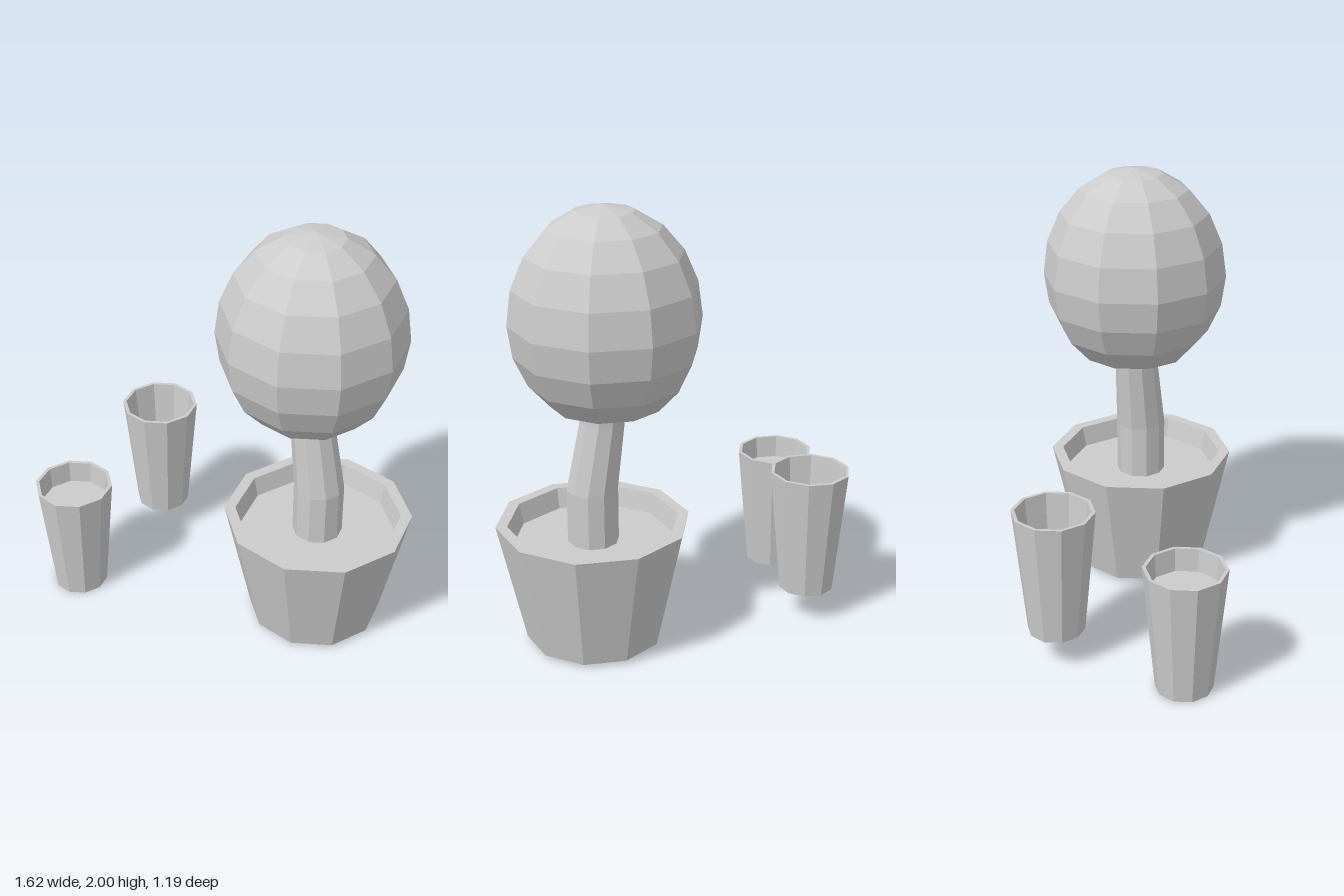
import * as THREE from 'three';

const SIDES = 10;

// Faceted ten-sided solid of revolution with corners on the x axis; profile runs bottom to top on the outside
function turned(name, profile, x, y, z) {
  const points = profile.map(([r, h]) => new THREE.Vector2(r, h));
  const geometry = new THREE.LatheGeometry(points, SIDES, Math.PI / 2);
  const material = new THREE.MeshStandardMaterial({ color: 0xcccccc, flatShading: true });
  const mesh = new THREE.Mesh(geometry, material);
  mesh.name = name;
  mesh.position.set(x, y, z);
  return mesh;
}

// Tapered cup with a wall, hollow down to the given floor height
function cup(name, floorY, x, y, z) {
  const floorR = 0.12 + 0.047 * (floorY - 0.03) / 0.555;
  return turned(name, [
    [0, 0], [0.128, 0], [0.183, 0.585], [0.167, 0.585], [floorR, floorY], [0, floorY],
  ], x, y, z);
}

export function createModel() {
  const model = new THREE.Group();
  model.name = 'pottedTreeWithCups';

  // Cups: one filled almost to the rim, one empty and raised
  model.add(cup('filledCup', 0.48, -0.628, 0, 0.42));
  model.add(cup('emptyCup', 0.03, -0.628, 0.15, -0.183));

  // Potted tree
  const tree = new THREE.Group();
  tree.name = 'pottedTree';
  tree.position.set(0.37, 0, -0.18);
  model.add(tree);

  // Pot with a rim, filled with soil
  tree.add(turned('pot', [
    [0, 0.015], [0.312, 0.015], [0.435, 0.575], [0.383, 0.575], [0.362, 0.48],
  ], 0, 0, 0));
  tree.add(turned('soil', [[0.362, 0.48], [0, 0.48]], 0, 0, 0));

  // Trunk: each ring is shifted sideways so the stem leans
  const rings = [[0.115, 0.47, 0], [0.115, 0.73, 0], [0.1, 1.05, -0.05], [0.1, 1.26, -0.066]];
  const trunk = turned('trunk', rings.map(([r, h]) => [r, h]), 0, 0, 0);
  const pos = trunk.geometry.attributes.position;
  for (let i = 0; i < pos.count; i++) {
    pos.setX(i, pos.getX(i) + rings[i % rings.length][2]);
  }
  trunk.geometry.computeVertexNormals();
  tree.add(trunk);

  // Foliage: egg-shaped ball, its underside pushed in around the trunk
  const profile = [[0, 1.25], [0.13, 1.22]];
  for (let i = 2; i <= 10; i++) {
    const a = Math.PI * (1 - i / 10);
    profile.push([i === 10 ? 0 : 0.42 * Math.sin(a), 1.5 + (i < 5 ? 0.46 : 0.5) * Math.cos(a)]);
  }
  tree.add(turned('foliage', profile, -0.072, 0, 0));

  return model;
}
